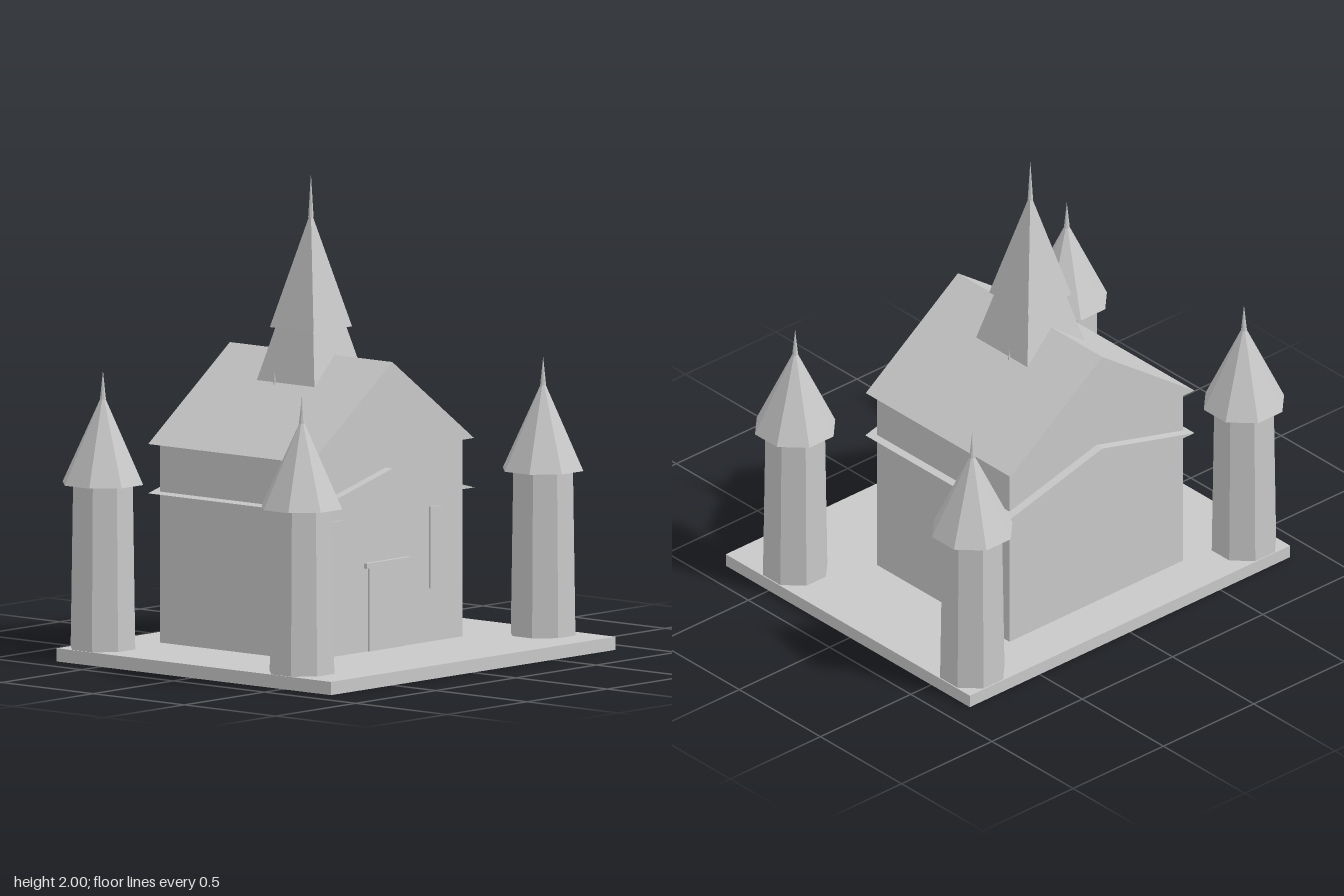
import * as THREE from 'three';

const stone = new THREE.MeshStandardMaterial({ color: 0xc8c8c8, flatShading: true });
stone.name = 'stone grey';

function add(parent, name, geometry, x = 0, y = 0, z = 0) {
  const mesh = new THREE.Mesh(geometry, stone);
  mesh.name = name;
  mesh.position.set(x, y, z);
  parent.add(mesh);
  return mesh;
}

// Box given by its lower and upper limits on each axis
function block(parent, name, x0, x1, y0, y1, z0, z1) {
  return add(parent, name, new THREE.BoxGeometry(x1 - x0, y1 - y0, z1 - z0),
    (x0 + x1) / 2, (y0 + y1) / 2, (z0 + z1) / 2);
}

// Tapered prism with flat sides facing the axes; sizes are half widths across flats
function taper(parent, name, sides, bottom, top, y0, y1, x = 0, z = 0) {
  const k = 1 / Math.cos(Math.PI / sides);
  const geometry = new THREE.CylinderGeometry(top * k, bottom * k, y1 - y0, sides);
  geometry.rotateY(Math.PI / sides);
  return add(parent, name, geometry, x, (y0 + y1) / 2, z);
}

// Triangular roof running along z
function gable(parent, name, half, y0, y1, z0, z1) {
  const shape = new THREE.Shape();
  shape.moveTo(-half, y0);
  shape.lineTo(half, y0);
  shape.lineTo(0, y1);
  shape.closePath();
  return add(parent, name,
    new THREE.ExtrudeGeometry(shape, { depth: z1 - z0, bevelEnabled: false }), 0, 0, z0);
}

function cornerTower(x, z) {
  const tower = new THREE.Group();
  tower.name = 'cornerTower';
  tower.position.set(x, 0, z);
  taper(tower, 'towerShaft', 8, 0.13, 0.12, 0.055, 0.745);
  taper(tower, 'towerRoof', 8, 0.162, 0, 0.74, 1.115);
  taper(tower, 'towerFinial', 8, 0.012, 0, 1.09, 1.21);
  return tower;
}

export function createModel() {
  const model = new THREE.Group();
  model.name = 'chapel';

  // Ground slab and main hall
  block(model, 'baseSlab', -0.887, 0.887, 0, 0.055, -0.738, 0.765);
  block(model, 'hall', -0.48, 0.48, 0.055, 0.885, -0.53, 0.285);

  // Lower pediment passing through the hall, and the main roof
  gable(model, 'pediment', 0.51, 0.675, 0.808, -0.568, 0.325);
  gable(model, 'mainRoof', 0.51, 0.88, 1.25, -0.568, 0.322);

  // Front door, lintel and windows
  block(model, 'door', -0.11, 0.11, 0.055, 0.402, 0.285, 0.293);
  block(model, 'doorLintel', -0.135, 0.135, 0.402, 0.424, 0.285, 0.302);
  for (const s of [-1, 1]) {
    add(model, 'window', new THREE.BoxGeometry(0.07, 0.34, 0.008), s * 0.307, 0.447, 0.289);
  }

  // Steeple: flared skirt, spire and finial
  const sz = -0.124;
  taper(model, 'steepleSkirt', 4, 0.158, 0.102, 1.135, 1.36, 0, sz);
  taper(model, 'spire', 4, 0.12, 0, 1.355, 1.835, 0, sz);
  taper(model, 'spireFinial', 8, 0.011, 0, 1.81, 1.995, 0, sz);

  // Small pegs beside the steeple
  for (const s of [-1, 1]) {
    taper(model, 'steeplePeg', 4, 0.004, 0.001, 1.12, 1.175, s * 0.165, -0.178);
  }

  // Four corner towers
  for (const x of [-0.752, 0.752]) {
    for (const z of [0.488, -0.603]) model.add(cornerTower(x, z));
  }
  return model;
}
